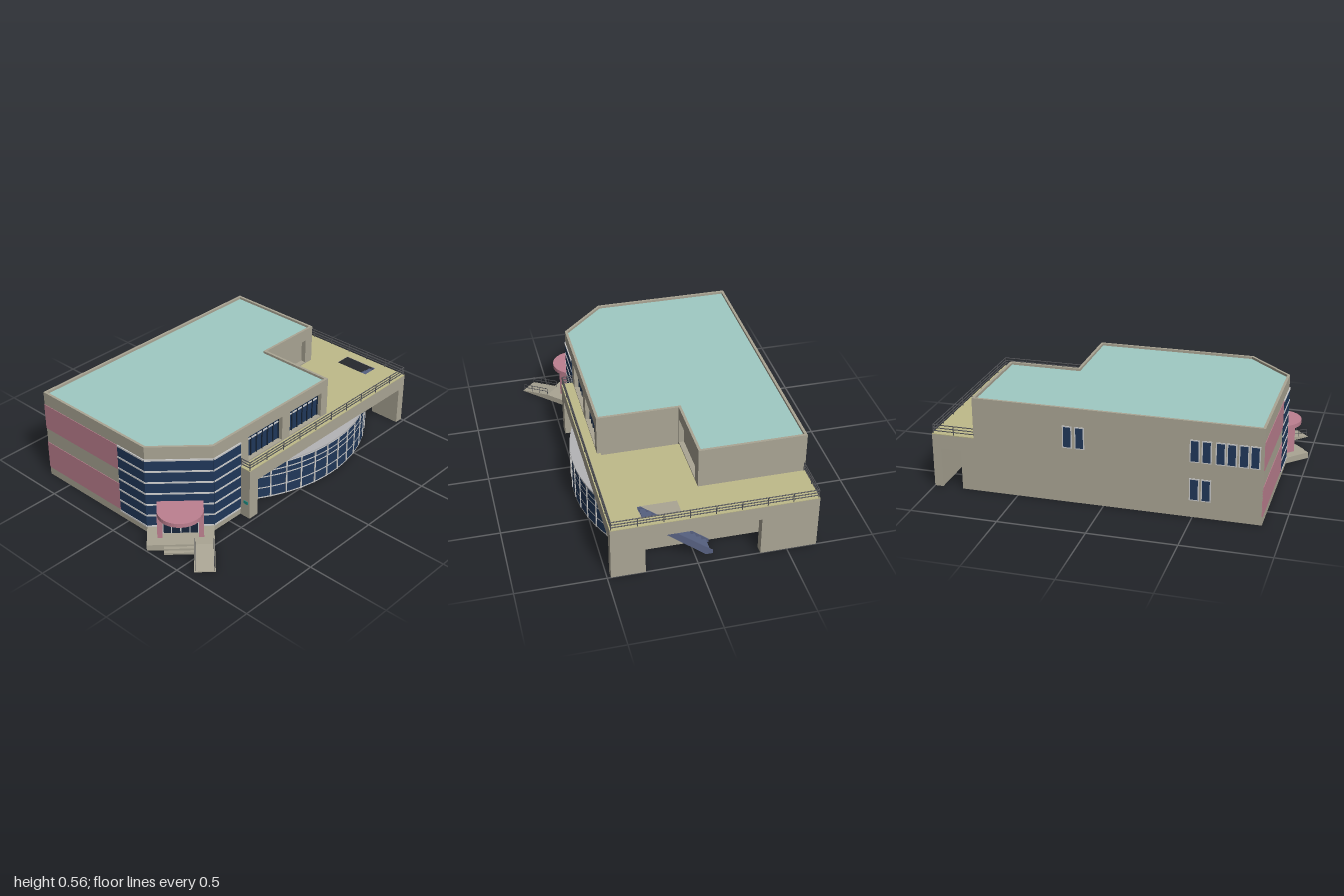
import * as THREE from 'three';

const mat = (color, side = THREE.FrontSide) => new THREE.MeshStandardMaterial({ color, side });
const M = {
  wall: mat(0xaaa594), pink: mat(0xbd8090), roof: mat(0x9fcac3), deck: mat(0xbfba8a),
  glass: mat(0x20385a, THREE.DoubleSide), dark: mat(0x17263b), frame: mat(0xc4c8c8),
  rail: mat(0x55565a), stair: mat(0x566080), grey: mat(0xb4b4b6), sign: mat(0x1f8f86),
};

function add(parent, name, geo, material) {
  const mesh = new THREE.Mesh(geo, material);
  mesh.name = name;
  parent.add(mesh);
  return mesh;
}

// Box given by its minimum and maximum corners
function box(parent, name, [x0, y0, z0], [x1, y1, z1], material) {
  const m = add(parent, name, new THREE.BoxGeometry(x1 - x0, y1 - y0, z1 - z0), material);
  m.position.set((x0 + x1) / 2, (y0 + y1) / 2, (z0 + z1) / 2);
  return m;
}

// Upright slab running between two plan points [x, z]
function slab(parent, name, a, b, y0, y1, t, material) {
  const dx = b[0] - a[0], dz = b[1] - a[1];
  const m = add(parent, name, new THREE.BoxGeometry(Math.hypot(dx, dz), y1 - y0, t), material);
  m.position.set((a[0] + b[0]) / 2, (y0 + y1) / 2, (a[1] + b[1]) / 2);
  m.rotation.y = Math.atan2(-dz, dx);
  return m;
}

// Plan outline of [x, z] points raised from y0 to y1
function plan(parent, name, pts, y0, y1, material, hole) {
  const v = (list) => list.map(([x, z]) => new THREE.Vector2(x, -z));
  const shape = new THREE.Shape(v(pts));
  if (hole) shape.holes.push(new THREE.Path(v(hole)));
  const geo = new THREE.ExtrudeGeometry(shape, { depth: y1 - y0, bevelEnabled: false });
  geo.rotateX(-Math.PI / 2).translate(0, y0, 0);
  return add(parent, name, geo, material);
}

// Round bar between two 3D points
function bar(parent, name, a, b, r, material) {
  const line = new THREE.LineCurve3(new THREE.Vector3(...a), new THREE.Vector3(...b));
  return add(parent, name, new THREE.TubeGeometry(line, 1, r, 6), material);
}

const OUT = [[-0.67, 0.88], [0.15, 0.88], [0.41, 0.62], [0.41, -0.33], [-0.06, -0.33], [-0.06, -0.75], [-0.67, -0.75]];
const INSET = [[-0.655, 0.865], [0.144, 0.865], [0.395, 0.614], [0.395, -0.315], [-0.075, -0.315], [-0.075, -0.735], [-0.655, -0.735]];
const ARC = { x: -0.365, z: -0.245, r: 0.9, half: 0.707 };
const arcPoint = (t, r = ARC.r) => [ARC.x + r * Math.cos(t), ARC.z - r * Math.sin(t)];

function mainBuilding() {
  const g = new THREE.Group();
  g.name = 'mainBuilding';
  // Ground floor with the bowed side
  const ground = [[-0.67, 0.88], [0.15, 0.88], [0.41, 0.62], [0.41, 0.34]];
  for (let i = 0; i <= 24; i++) ground.push(arcPoint(ARC.half * (i / 12 - 1), ARC.r - 0.006));
  ground.push([-0.67, -0.83]);
  plan(g, 'groundFloor', ground, 0, 0.235, M.wall);
  // Upper floor, with window recesses in its middle layer
  plan(g, 'upperFloorBase', OUT, 0.235, 0.33, M.wall);
  const notched = [...OUT.slice(0, 3), [0.41, 0.345], [0.375, 0.345], [0.375, 0.065], [0.41, 0.065],
    [0.41, 0], [0.375, 0], [0.375, -0.275], [0.41, -0.275], ...OUT.slice(3, 5),
    [-0.06, -0.345], [-0.09, -0.345], [-0.09, -0.69], [-0.06, -0.69], ...OUT.slice(5)];
  plan(g, 'upperFloorWalls', notched, 0.33, 0.485, M.wall);
  plan(g, 'upperFloorTop', OUT, 0.485, 0.535, M.wall);
  plan(g, 'parapet', OUT, 0.535, 0.56, M.wall, INSET);
  plan(g, 'roof', INSET, 0.535, 0.546, M.roof);
  // Painted front bands
  for (const [y0, y1] of [[0.05, 0.225], [0.32, 0.48]])
    slab(g, 'pinkBand', [-0.67, 0.88], [-0.06, 0.88], y0, y1, 0.006, M.pink);
  // Corner glazing with pale horizontal strips
  const path = [[-0.06, 0.88], [0.15, 0.88], [0.41, 0.62], [0.41, 0.41]];
  for (let i = 0; i < 3; i++) {
    slab(g, 'cornerGlass', path[i], path[i + 1], 0.04, 0.48, 0.006, M.glass);
    for (let k = 0; k < 7; k++) {
      const y = 0.043 + k * 0.0725;
      slab(g, 'glassStrip', path[i], path[i + 1], y - 0.005, y + 0.005, 0.012, M.frame);
    }
  }
  // Recessed terrace windows
  for (const [z0, z1] of [[0.065, 0.345], [-0.275, 0]]) {
    box(g, 'terraceWindow', [0.37, 0.33, z0], [0.38, 0.485, z1], M.glass);
    box(g, 'windowTransom', [0.38, 0.44, z0], [0.385, 0.448, z1], M.frame);
    for (let i = 0; i <= 6; i++) {
      const z = z0 + 0.003 + (z1 - z0 - 0.006) * i / 6;
      box(g, 'windowMullion', [0.38, 0.33, z - 0.003], [0.386, 0.485, z + 0.003], M.dark);
    }
  }
  // Narrow side windows
  const sideWindow = (z, y) => {
    box(g, 'sideWindowFrame', [-0.673, y, z], [-0.66, y + 0.13, z + 0.055], M.frame);
    box(g, 'sideWindow', [-0.676, y + 0.007, z + 0.007], [-0.66, y + 0.123, z + 0.048], M.glass);
  };
  for (const z of [-0.23, -0.16, 0.48, 0.545, 0.62, 0.68, 0.745, 0.805]) sideWindow(z, 0.325);
  for (const z of [0.48, 0.545]) sideWindow(z, 0.1);
  return g;
}

function bowedGlazing() {
  const g = new THREE.Group();
  g.name = 'bowedGlazing';
  const ring = (name, r, y0, y1, m) => {
    const geo = new THREE.CylinderGeometry(r, r, y1 - y0, 32, 1, true, Math.PI / 2 - ARC.half, 2 * ARC.half);
    add(g, name, geo, m).position.set(ARC.x, (y0 + y1) / 2, ARC.z);
  };
  ring('bowedGlass', ARC.r, 0.008, 0.23, M.glass);
  const frame = mat(0xc4c8c8, THREE.DoubleSide);
  for (const y of [0.012, 0.078, 0.152, 0.19, 0.228]) ring('bowedTransom', ARC.r + 0.003, y - 0.004, y + 0.004, frame);
  for (let i = 0; i <= 13; i++) {
    const t = ARC.half * (2 * i / 13 - 1);
    slab(g, 'bowedMullion', arcPoint(t, ARC.r - 0.003), arcPoint(t, ARC.r + 0.005), 0.008, 0.232, 0.008, M.frame);
  }
  const cap = [];
  for (let i = 0; i <= 24; i++) cap.push(arcPoint(ARC.half * (i / 12 - 1), ARC.r + 0.004));
  plan(g, 'bowedRoof', cap, 0.232, 0.238, M.grey);
  return g;
}

function terrace() {
  const g = new THREE.Group();
  g.name = 'terrace';
  const outline = [[-0.67, -1], [0.48, -1], [0.48, 0.41], [0.39, 0.41], [0.39, -0.35], [-0.08, -0.35], [-0.08, -0.75], [-0.67, -0.75]];
  const hole = [[0.08, -0.94], [0.3, -0.94], [0.3, -0.84], [0.08, -0.84]];
  plan(g, 'terraceSlab', outline, 0.235, 0.318, M.wall, hole);
  plan(g, 'terraceFloor', outline, 0.318, 0.322, M.deck, hole);
  // Supports
  box(g, 'frontPier', [0.32, 0, 0.343], [0.48, 0.235, 0.41], M.wall);
  box(g, 'rearPier', [0.29, 0, -1], [0.48, 0.235, -0.95], M.wall);
  box(g, 'wideRearPier', [-0.67, 0, -1], [-0.35, 0.235, -0.95], M.wall);
  box(g, 'signPlate', [0.438, 0.09, 0.41], [0.466, 0.108, 0.414], M.sign);
  // Railing
  const path = [[0.41, 0.403], [0.474, 0.403], [0.474, -0.994], [-0.664, -0.994], [-0.664, -0.75]];
  for (let i = 0; i < 4; i++) {
    const [a, b] = [path[i], path[i + 1]];
    for (const y of [0.338, 0.355, 0.373])
      bar(g, 'railingBar', [a[0], y, a[1]], [b[0], y, b[1]], 0.003, M.rail);
    const n = Math.max(1, Math.round(Math.hypot(b[0] - a[0], b[1] - a[1]) / 0.14));
    for (let k = 0; k <= n; k++) {
      const x = a[0] + (b[0] - a[0]) * k / n, z = a[1] + (b[1] - a[1]) * k / n;
      bar(g, 'railingPost', [x, 0.32, z], [x, 0.374, z], 0.003, M.rail);
    }
  }
  // Stair down through the floor opening
  const n = 12;
  for (let i = 0; i < n; i++) {
    const x = -0.07 + i * 0.031, y = 0.02 + i * 0.0255;
    box(g, 'stairTread', [x - 0.014, y, -0.935], [x + 0.018, y + 0.006, -0.845], M.stair);
  }
  for (const z of [-0.937, -0.843]) {
    const s = new THREE.Shape([[-0.1, 0], [-0.06, 0], [0.3, 0.296], [0.3, 0.32], [0.28, 0.32], [-0.1, 0.02]].map((p) => new THREE.Vector2(...p)));
    const geo = new THREE.ExtrudeGeometry(s, { depth: 0.006, bevelEnabled: false });
    add(g, 'stairStringer', geo, M.stair).position.z = z - 0.003;
  }
  return g;
}

// Built facing +z, then turned to the chamfered corner
function entrance() {
  const g = new THREE.Group();
  g.name = 'entrance';
  g.position.set(0.28, 0, 0.75);
  g.rotation.y = Math.PI / 4;
  const canopy = [[-0.127, 0]];
  for (let i = 0; i <= 24; i++) {
    const t = Math.PI * (1 - i / 24);
    canopy.push([0.127 * Math.cos(t), 0.082 + 0.127 * Math.sin(t)]);
  }
  canopy.push([0.127, 0]);
  plan(g, 'canopy', canopy, 0.185, 0.21, M.pink);
  for (const s of [-1, 1]) {
    const x = s * 0.113;
    box(g, 'porchWall', [x - 0.014, 0.035, 0], [x + 0.014, 0.185, 0.1], M.pink);
  }
  // Glazed doors
  box(g, 'doorGlass', [-0.1, 0.035, 0.05], [0.1, 0.185, 0.06], M.dark);
  for (const x of [-0.096, -0.05, 0, 0.05, 0.096])
    box(g, 'doorMullion', [x - 0.003, 0.035, 0.06], [x + 0.003, 0.185, 0.064], M.frame);
  box(g, 'doorTransom', [-0.1, 0.148, 0.06], [0.1, 0.153, 0.064], M.frame);
  // Landing, steps and ramp
  box(g, 'landing', [-0.184, 0, 0], [0.184, 0.036, 0.163], M.wall);
  box(g, 'upperStep', [-0.09, 0, 0.163], [0.07, 0.024, 0.183], M.wall);
  box(g, 'lowerStep', [-0.09, 0, 0.183], [0.07, 0.012, 0.203], M.wall);
  const ramp = new THREE.Shape([[0.163, 0], [0.354, 0], [0.354, 0.004], [0.163, 0.036]].map((p) => new THREE.Vector2(...p)));
  const geo = new THREE.ExtrudeGeometry(ramp, { depth: 0.114, bevelEnabled: false });
  geo.rotateY(-Math.PI / 2).translate(0.184, 0, 0);
  add(g, 'ramp', geo, M.wall);
  for (const x of [0.076, 0.178]) {
    for (const h of [0.022, 0.042])
      bar(g, 'rampRail', [x, 0.036 + h, 0.165], [x, 0.005 + h, 0.348], 0.002, M.rail);
    for (let i = 0; i < 4; i++) {
      const z = 0.165 + i * 0.061, y = 0.036 - i * 0.0103;
      bar(g, 'rampRailPost', [x, y - 0.004, z], [x, y + 0.042, z], 0.002, M.rail);
    }
  }
  return g;
}

export function createModel() {
  const model = new THREE.Group();
  model.name = 'officeBuilding';
  model.add(mainBuilding(), bowedGlazing(), terrace(), entrance());
  return model;
}
